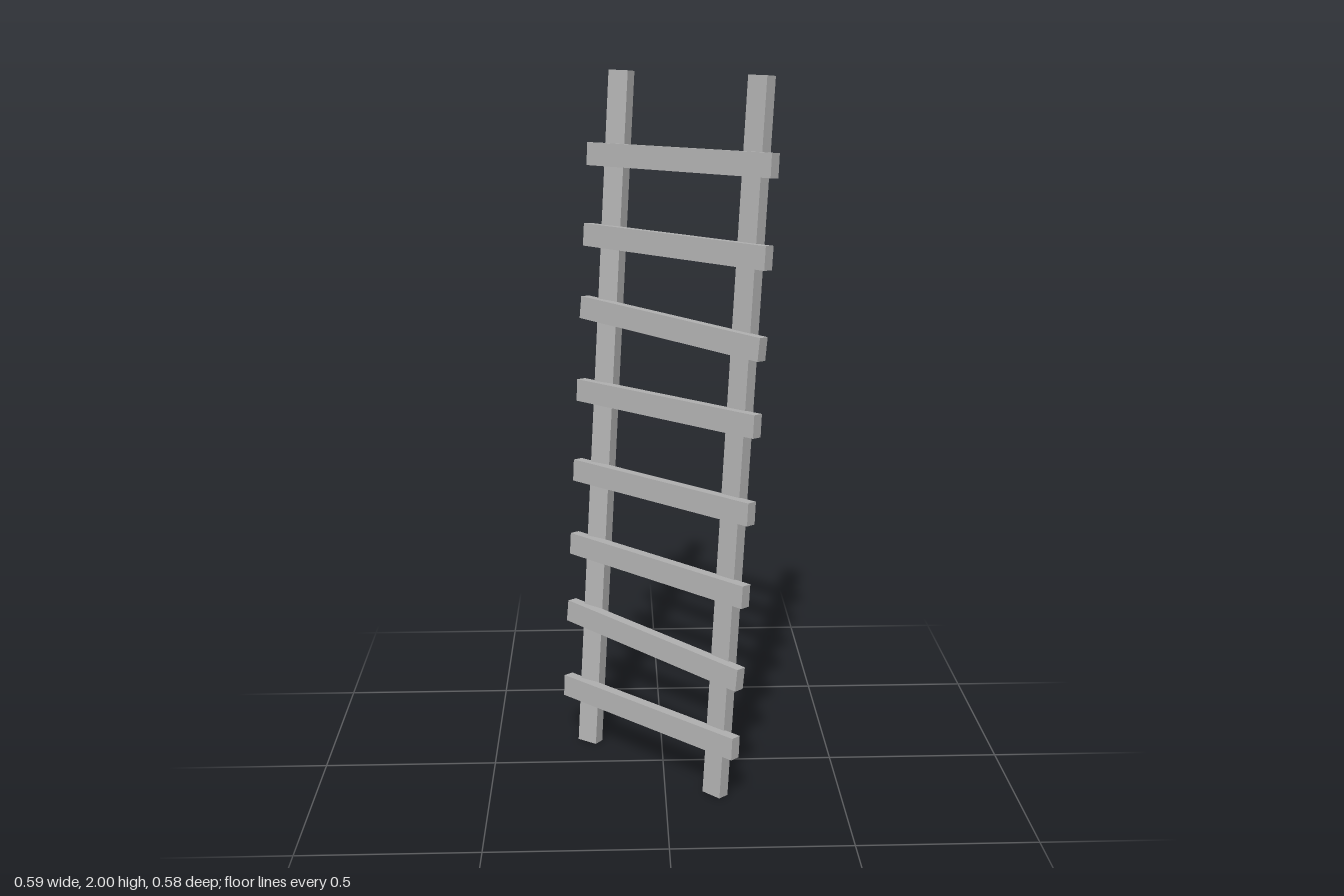
import * as THREE from 'three';

export function createModel() {
  const model = new THREE.Group();
  model.name = 'ladder';
  const grey = new THREE.MeshStandardMaterial({ color: 0xb4b4b4 });
  grey.name = 'weathered grey';

  // The ladder is built upright, then turned and leaned back about its middle
  const frame = new THREE.Group();
  frame.name = 'leaningFrame';
  frame.rotation.order = 'YXZ';
  const lean = THREE.MathUtils.degToRad(4.6);
  frame.rotation.set(-lean, THREE.MathUtils.degToRad(-43.7), 0);
  frame.position.y = 1;
  model.add(frame);

  const addBeam = (name, size, position, yaw = 0, tilt = 0) => {
    const beam = new THREE.Mesh(new THREE.BoxGeometry(...size), grey);
    beam.name = name;
    beam.position.set(...position);
    beam.rotation.set(0, yaw, tilt);
    frame.add(beam);
  };

  // Side rails, the right one slightly twisted
  const railSize = [0.063, 2.003, 0.036];
  addBeam('rightRail', railSize, [-0.253, 0, -0.029], 0.2);
  addBeam('leftRail', railSize, [0.245, 0, -0.029]);

  // Rungs nailed across the front: height and uneven tilt
  const rungs = [
    [0.172, 0.012], [0.393, -0.044], [0.618, 0], [0.847, 0.011],
    [1.088, 0.011], [1.313, -0.046], [1.537, 0], [1.769, 0.014],
  ];
  rungs.forEach(([y, tilt], i) => {
    addBeam(`rung${i + 1}`, [0.66, 0.064, 0.033], [0, (y - 1) / Math.cos(lean), 0], 0, tilt);
  });

  return model;
}
